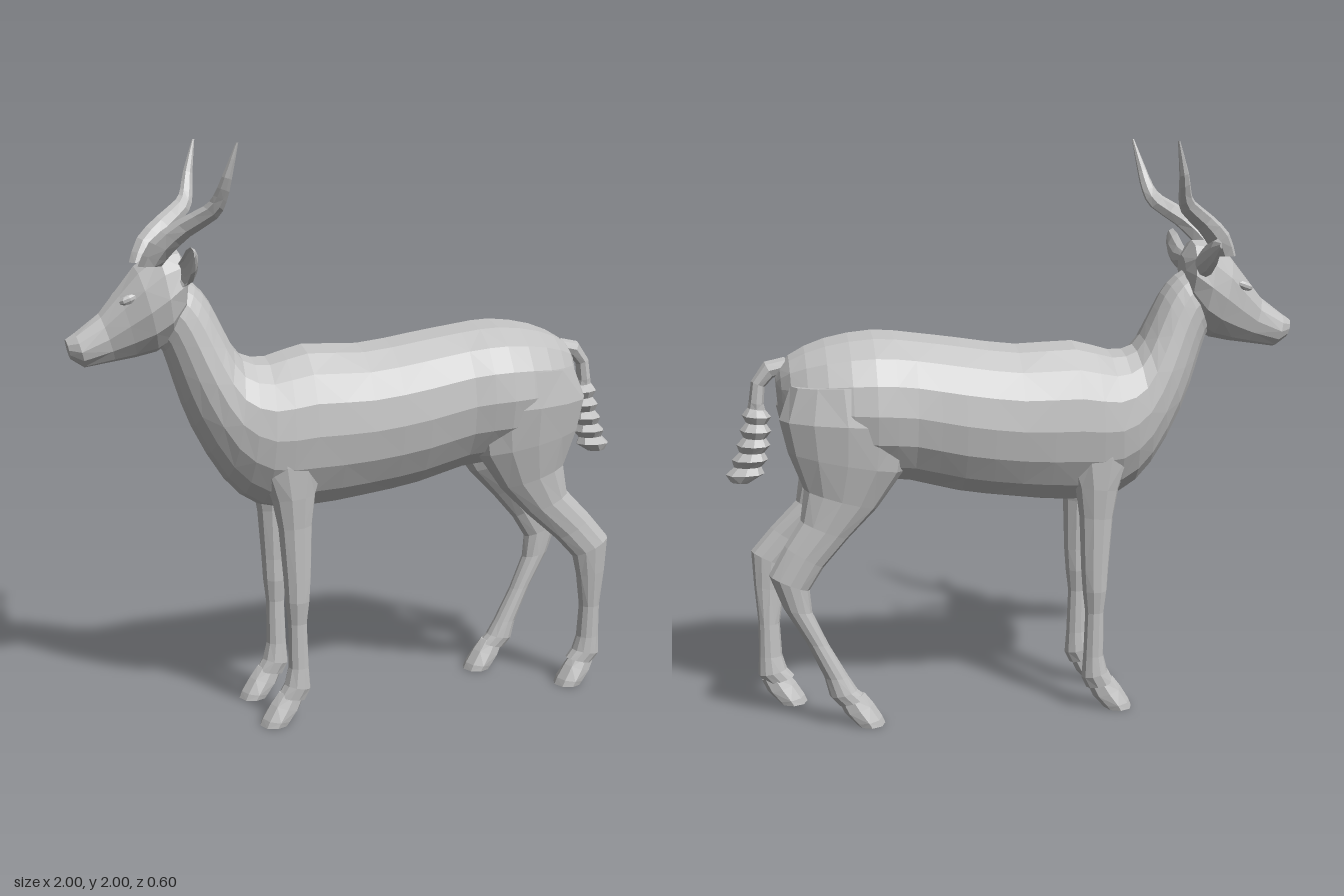
import * as THREE from 'three';

const coat = new THREE.MeshStandardMaterial({ color: 0xc0c0c0, flatShading: true });
coat.name = 'plain grey';

// Smoothly adds in-between sections
function refine(rows, steps) {
  const out = [];
  const at = i => rows[Math.max(0, Math.min(rows.length - 1, i))];
  for (let i = 0; i < rows.length - 1; i++) {
    for (let s = 0; s < steps; s++) {
      const t = s / steps;
      out.push(rows[i].map((b, k) => {
        const a = at(i - 1)[k], c = at(i + 1)[k], d = at(i + 2)[k];
        return b + 0.5 * t * (c - a + t * (2 * a - 5 * b + 4 * c - d + t * (3 * (b - c) + d - a)));
      }));
    }
  }
  out.push(rows[rows.length - 1]);
  return out;
}

// Skin over oval sections: [edge1 x, y, edge2 x, y, half width, centre z]
function loft(name, rows, { sides = 10, steps = 1, map = p => p } = {}) {
  const rings = refine(rows.map(r => [r[0], r[1], r[2], r[3], r[4], r[5] ?? 0]), steps);
  const pts = [], idx = [];
  for (const [x1, y1, x2, y2, w, z] of rings) {
    for (let j = 0; j < sides; j++) {
      const t = (j / sides) * Math.PI * 2, c = Math.cos(t) / 2, s = Math.sin(t);
      pts.push(map(new THREE.Vector3((x1 + x2) / 2 + c * (x1 - x2), (y1 + y2) / 2 + c * (y1 - y2), z + s * w)));
    }
  }
  for (let i = 0; i < rings.length - 1; i++) {
    for (let j = 0; j < sides; j++) {
      const a = i * sides + j, b = i * sides + (j + 1) % sides, c = a + sides, d = b + sides;
      if ((i + j) % 2) idx.push(a, b, c, b, d, c);
      else idx.push(a, b, d, a, d, c);
    }
  }
  const last = (rings.length - 1) * sides;
  for (let j = 1; j < sides - 1; j++) idx.push(0, j + 1, j, last, last + j, last + j + 1);
  // Turn the skin outward
  let volume = 0;
  for (let i = 0; i < idx.length; i += 3)
    volume += pts[idx[i]].dot(new THREE.Vector3().crossVectors(pts[idx[i + 1]], pts[idx[i + 2]]));
  if (volume < 0) idx.reverse();
  const geo = new THREE.BufferGeometry().setFromPoints(pts);
  geo.setIndex(idx);
  geo.computeVertexNormals();
  const mesh = new THREE.Mesh(geo, coat);
  mesh.name = name;
  return mesh;
}

export function createModel() {
  const model = new THREE.Group();
  model.name = 'antelope';

  // Trunk and neck, rump to throat
  model.add(loft('bodyAndNeck', [
    [0.825, 1.22, 0.815, 1.08, 0.05], [0.78, 1.285, 0.77, 0.97, 0.15], [0.66, 1.34, 0.65, 0.89, 0.22],
    [0.5, 1.365, 0.5, 0.85, 0.248], [0.36, 1.352, 0.37, 0.835, 0.225], [0.2, 1.33, 0.2, 0.79, 0.225],
    [0, 1.303, 0, 0.76, 0.217], [-0.2, 1.31, -0.2, 0.74, 0.207], [-0.33, 1.275, -0.36, 0.76, 0.195],
    [-0.42, 1.29, -0.48, 0.86, 0.165], [-0.47, 1.37, -0.59, 1.05, 0.135], [-0.52, 1.47, -0.645, 1.2, 0.11],
    [-0.57, 1.53, -0.68, 1.31, 0.095], [-0.64, 1.57, -0.72, 1.37, 0.08],
  ], { sides: 16, steps: 2 }));

  // Head, muzzle to poll
  model.add(loft('head', [
    [-1.0, 1.365, -0.985, 1.3, 0.03], [-0.97, 1.385, -0.94, 1.27, 0.055], [-0.89, 1.445, -0.84, 1.285, 0.056],
    [-0.83, 1.52, -0.77, 1.295, 0.08], [-0.77, 1.595, -0.7, 1.31, 0.11], [-0.7, 1.65, -0.65, 1.34, 0.12],
    [-0.63, 1.652, -0.61, 1.42, 0.105], [-0.595, 1.6, -0.6, 1.5, 0.05],
  ], { sides: 12 }));

  // Tail with a ragged tuft
  const tail = [
    [0.79, 1.28, 0.79, 1.22, 0.03], [0.86, 1.265, 0.83, 1.21, 0.03],
    [0.905, 1.2, 0.86, 1.18, 0.026], [0.915, 1.13, 0.865, 1.12, 0.03],
  ];
  for (let i = 0; i < 10; i++) {
    const t = i / 9, bump = i % 2 ? 0.01 : -0.007, r = 0.037 + 0.018 * t + bump;
    const x = 0.89 + 0.045 * t * t, y = 1.1 - 0.22 * t;
    tail.push([x + r, y + 0.01 - 0.01 * t, x - r, y, 0.035 + 0.012 * Math.sin(t * 3) + bump]);
  }
  tail.push([0.985, 0.855, 0.92, 0.85, 0.03]);
  model.add(loft('tail', tail, { sides: 8 }));

  const horn = [
    [-0.77, 1.6, -0.69, 1.6, 0.033, 0.07], [-0.735, 1.68, -0.66, 1.64, 0.034, 0.095],
    [-0.66, 1.745, -0.61, 1.695, 0.033, 0.13], [-0.58, 1.795, -0.535, 1.755, 0.03, 0.19],
    [-0.555, 1.83, -0.512, 1.81, 0.022, 0.225], [-0.535, 1.89, -0.503, 1.88, 0.016, 0.258],
    [-0.495, 1.995, -0.487, 1.995, 0.004, 0.284],
  ];
  // Ear is laid out along x, then turned sideways
  const ear = [
    [0.08, 1.605, 0.08, 1.56, 0.02], [0.14, 1.63, 0.14, 1.535, 0.036], [0.2, 1.66, 0.2, 1.55, 0.036],
    [0.26, 1.675, 0.26, 1.59, 0.025], [0.302, 1.665, 0.302, 1.645, 0.006],
  ];
  const foreleg = [
    [-0.4, 1.08, -0.18, 1.08, 0.07, 0.115], [-0.39, 0.92, -0.15, 0.92, 0.07, 0.12],
    [-0.345, 0.8, -0.19, 0.82, 0.062, 0.125], [-0.325, 0.7, -0.205, 0.71, 0.05, 0.13],
    [-0.31, 0.52, -0.212, 0.52, 0.044, 0.135], [-0.305, 0.44, -0.218, 0.44, 0.044, 0.135],
    [-0.295, 0.36, -0.228, 0.36, 0.034, 0.135], [-0.295, 0.2, -0.222, 0.2, 0.036, 0.135],
    [-0.31, 0.14, -0.216, 0.12, 0.042, 0.135], [-0.335, 0.1, -0.235, 0.08, 0.038, 0.135],
  ];
  const thigh = [
    [0.44, 1.2, 0.78, 1.2, 0.1, 0.125], [0.38, 1.06, 0.82, 1.09, 0.105, 0.14],
    [0.41, 0.9, 0.795, 0.98, 0.087, 0.14], [0.5, 0.775, 0.745, 0.85, 0.066, 0.135],
    [0.6, 0.675, 0.76, 0.745, 0.052, 0.14],
  ];
  const rearShin = [
    [0.72, 0.57, 0.85, 0.65, 0.044, 0.15], [0.785, 0.5, 0.922, 0.565, 0.046, 0.155],
    [0.808, 0.42, 0.916, 0.44, 0.04, 0.15], [0.83, 0.3, 0.905, 0.3, 0.035, 0.14],
    [0.825, 0.18, 0.908, 0.18, 0.037, 0.135], [0.81, 0.13, 0.912, 0.11, 0.042, 0.132],
    [0.785, 0.1, 0.885, 0.075, 0.038, 0.132],
  ];
  const forwardShin = [
    [0.685, 0.58, 0.815, 0.66, 0.044, 0.145], [0.735, 0.5, 0.87, 0.56, 0.046, 0.142],
    [0.728, 0.42, 0.825, 0.44, 0.04, 0.138], [0.675, 0.3, 0.75, 0.31, 0.035, 0.132],
    [0.61, 0.18, 0.692, 0.18, 0.037, 0.128], [0.58, 0.13, 0.675, 0.11, 0.042, 0.128],
    [0.55, 0.1, 0.645, 0.075, 0.038, 0.128],
  ];
  const hoof = (x, z) => [
    [x + 0.07, 0.115, x + 0.16, 0.09, 0.032, z], [x + 0.04, 0.075, x + 0.14, 0.045, 0.042, z],
    [x + 0.01, 0.025, x + 0.11, 0.012, 0.052, z], [x, 0, x + 0.1, 0, 0.052, z],
  ];

  // Paired parts; the two hind legs are in different strides
  for (const [side, s] of [['left', 1], ['right', -1]]) {
    const map = p => p.set(p.x, p.y, p.z * s);
    const earMap = p => p.set(-0.64 - (p.z > 0.001 ? -0.3 * p.z : p.z), p.y, p.x * s);
    const back = s > 0;
    model.add(
      loft(side + 'Horn', horn, { sides: 7, steps: 2, map }),
      loft(side + 'Ear', ear, { sides: 10, map: earMap }),
      loft(side + 'FrontLeg', foreleg, { map }),
      loft(side + 'FrontHoof', hoof(-0.4, 0.135), { sides: 8, map }),
      loft(side + 'HindLeg', [...thigh, ...(back ? rearShin : forwardShin)], { sides: 12, map }),
      loft(side + 'HindHoof', hoof(back ? 0.74 : 0.485, 0.13), { sides: 8, map }),
    );
    // Brow and eye bump
    const eye = new THREE.Mesh(new THREE.SphereGeometry(0.022, 7, 5), coat);
    eye.name = side + 'Eye';
    eye.scale.set(1.4, 0.7, 0.6);
    eye.rotation.z = 0.35;
    eye.position.set(-0.805, 1.495, 0.075 * s);
    model.add(eye);
  }
  return model;
}
